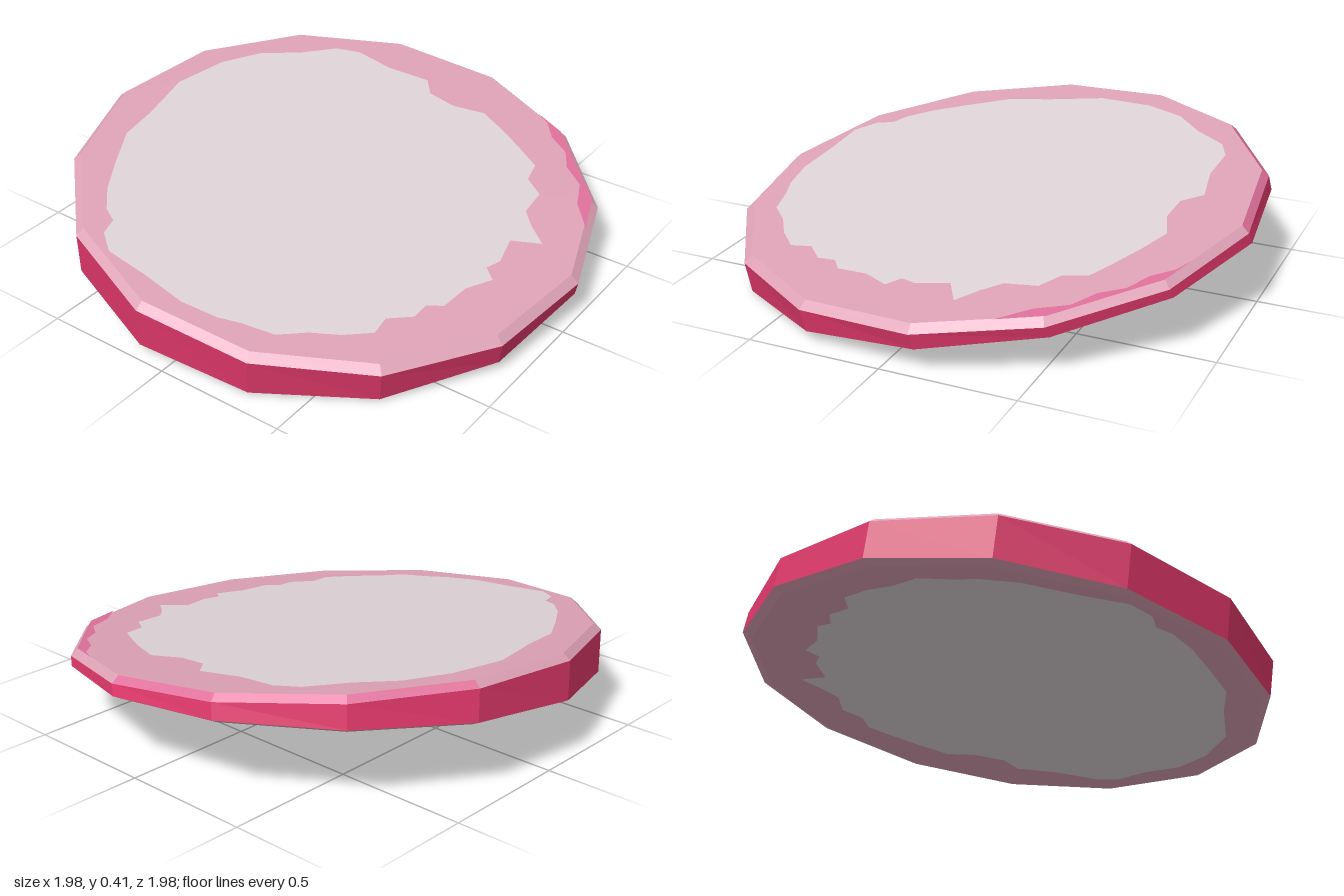
import * as THREE from 'three';

const SIDES = 14;
const START = -0.112; // angle of the first corner

const mat = (name, color) => {
  const m = new THREE.MeshStandardMaterial({ color, flatShading: true });
  m.name = name;
  return m;
};

// The two faces are tilted differently, so the disc is a slight wedge
const topY = (x, z) => 0.288 - 0.121 * x - 0.068 * z;
const bottomY = (x, z) => 0.147 - 0.086 * x - 0.125 * z;

// One ring of corners, lying on a tilted plane
function ring(radius, shift, plane, lift) {
  return Array.from({ length: SIDES }, (_, i) => {
    const a = START + (i * 2 * Math.PI) / SIDES;
    const x = radius * Math.cos(a) + shift, z = radius * Math.sin(a) + shift;
    return new THREE.Vector3(x, plane(x, z) + lift, z);
  });
}

// Band of quads between a lower and an upper ring, for the chosen sides
function band(name, lower, upper, material, pick = () => true) {
  const pos = [];
  for (let i = 0; i < SIDES; i++) {
    if (!pick(i)) continue;
    const j = (i + 1) % SIDES;
    for (const p of [lower[i], upper[i], upper[j], lower[i], upper[j], lower[j]]) pos.push(p.x, p.y, p.z);
  }
  const g = new THREE.BufferGeometry();
  g.setAttribute('position', new THREE.Float32BufferAttribute(pos, 3));
  g.computeVertexNormals();
  const mesh = new THREE.Mesh(g, material);
  mesh.name = name;
  return mesh;
}

// Flat outline in x and z laid on a tilted plane, facing up or down
function cap(name, outline, hole, plane, up, material, lift = 0) {
  const shape = new THREE.Shape(outline);
  if (hole) shape.holes.push(new THREE.Path(hole));
  const g = new THREE.ShapeGeometry(shape);
  const p = g.attributes.position;
  for (let i = 0; i < p.count; i++) {
    const x = p.getX(i), z = p.getY(i);
    p.setXYZ(i, x, plane(x, z) + lift, z);
  }
  if (up) g.index.array.reverse();
  g.computeVertexNormals();
  const mesh = new THREE.Mesh(g, material);
  mesh.name = name;
  return mesh;
}

// Ragged pale patch in the middle of each face, as x, z pairs
const PATCH = [
  0.73, 0, 0.71, 0.06, 0.76, 0.1, 0.71, 0.2, 0.7, 0.32, 0.65, 0.36, 0.65, 0.43, 0.58, 0.5, 0.59, 0.58,
  0.51, 0.66, 0.42, 0.72, 0.34, 0.8, 0.22, 0.83, 0.14, 0.86, 0, 0.88, -0.18, 0.86, -0.36, 0.85,
  -0.44, 0.79, -0.46, 0.72, -0.52, 0.69, -0.6, 0.6, -0.68, 0.47, -0.77, 0.31, -0.79, 0.15,
  -0.84, -0.08, -0.8, -0.3, -0.72, -0.46, -0.6, -0.57, -0.5, -0.7, -0.41, -0.74, -0.25, -0.73,
  -0.08, -0.76, -0.02, -0.69, 0.1, -0.68, 0.22, -0.72, 0.34, -0.67, 0.44, -0.62, 0.55, -0.56,
  0.57, -0.47, 0.65, -0.42, 0.66, -0.3, 0.72, -0.24, 0.8, -0.18, 0.7, -0.12,
];

export function createModel() {
  const pale = mat('pale grey', 0xded3d7);
  const pink = mat('dusty pink', 0xdea2b6);
  const rose = mat('rose', 0xde709a);
  const crimson = mat('crimson', 0xe0386b);

  const group = new THREE.Group();
  group.name = 'tiltedDisc';

  const topInner = ring(0.965, 0.003, topY, 0);
  const topOuter = ring(0.993, 0.004, topY, -0.025);
  const bottomOuter = ring(0.99, -0.009, bottomY, 0.014);
  const bottomInner = ring(0.958, -0.009, bottomY, 0);

  // Rim and its narrow bevels
  const worn = (i) => i >= 8 && i <= 10;
  group.add(
    band('rim', bottomOuter, topOuter, crimson),
    band('topBevel', topOuter, topInner, pink, (i) => !worn(i)),
    band('topBevelRose', topOuter, topInner, rose, worn),
    band('bottomBevel', bottomInner, bottomOuter, pink),
  );

  // Top and bottom faces; the lower patch is the upper one mirrored and turned
  const flat = (r) => r.map((p) => new THREE.Vector2(p.x, p.z));
  const patch = [], lowerPatch = [];
  const turn = THREE.MathUtils.degToRad(233), c = Math.cos(turn), s = Math.sin(turn);
  for (let i = 0; i < PATCH.length; i += 2) {
    const x = PATCH[i], z = PATCH[i + 1];
    patch.push(new THREE.Vector2(x, z));
    lowerPatch.push(new THREE.Vector2(c * x + s * z, s * x - c * z));
  }
  group.add(
    cap('topBorder', flat(topInner), patch, topY, true, pink),
    cap('topPatch', patch, null, topY, true, pale),
    cap('bottomBorder', flat(bottomInner), lowerPatch, bottomY, false, pink),
    cap('bottomPatch', lowerPatch, null, bottomY, false, pale),
  );

  // Rose stain along one edge of the top border
  const stain = [[0.38, -0.865], [0.52, -0.815], [0.82, -0.52], [0.88, -0.36], [0.79, -0.46],
    [0.74, -0.57], [0.65, -0.63], [0.6, -0.71], [0.51, -0.76], [0.45, -0.83]]
    .map(([x, z]) => new THREE.Vector2(x, z));
  group.add(cap('edgeStain', stain, null, topY, true, rose, 0.002));

  return group;
}
